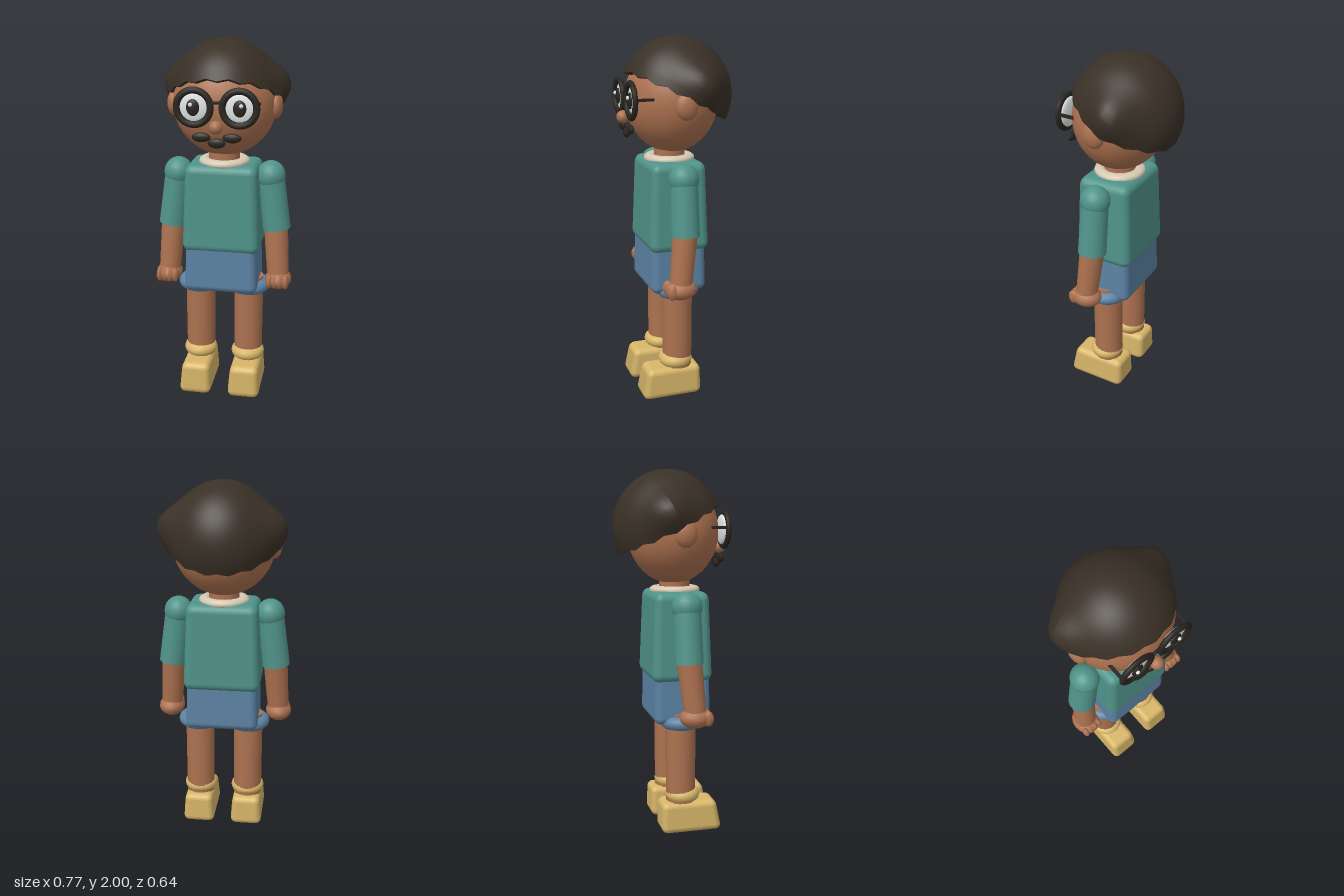
import * as THREE from 'three';
import { RoundedBoxGeometry } from 'three/addons/geometries/RoundedBoxGeometry.js';

const colour = (name, hex, side = THREE.FrontSide) => {
  const m = new THREE.MeshStandardMaterial({ color: hex, side });
  m.name = name;
  return m;
};

export function createModel() {
  const skin = colour('skin', 0xad7250);
  const hairMat = colour('hair', 0x393026, THREE.DoubleSide);
  const teal = colour('shirt teal', 0x50948a);
  const blue = colour('shorts blue', 0x5c83a5);
  const yellow = colour('shoe yellow', 0xd9b76a);
  const cream = colour('collar cream', 0xd6c9b2);
  const white = colour('eye white', 0xdfe5e6);
  const black = colour('dark frame', 0x29251f);

  const model = new THREE.Group();
  model.name = 'figure';

  const add = (name, geometry, material, x = 0, y = 0, z = 0) => {
    const mesh = new THREE.Mesh(geometry, material);
    mesh.name = name;
    mesh.position.set(x, y, z);
    model.add(mesh);
    return mesh;
  };
  const ball = (name, mat, x, y, z, rx, ry, rz, seg = 20) =>
    add(name, new THREE.SphereGeometry(1, seg, Math.ceil(seg * 0.6)).scale(rx, ry, rz), mat, x, y, z);
  // Rounded box whose top is narrowed by a factor in x and z
  const taperedBox = (w, h, d, r, topX, topZ, shiftZ = 0) => {
    const g = new RoundedBoxGeometry(w, h, d, 3, r);
    const p = g.attributes.position;
    for (let i = 0; i < p.count; i++) {
      const t = p.getY(i) / h + 0.5;
      p.setX(i, p.getX(i) * (1 + (topX - 1) * t));
      p.setZ(i, p.getZ(i) * (1 + (topZ - 1) * t) + shiftZ * t);
    }
    return g;
  };
  // Tapered cylinder between two points
  const limb = (name, mat, a, b, ra, rb) => {
    const from = new THREE.Vector3(...a), to = new THREE.Vector3(...b);
    const dir = to.clone().sub(from);
    const mesh = add(name, new THREE.CylinderGeometry(rb, ra, dir.length(), 20), mat);
    mesh.position.copy(from).lerp(to, 0.5);
    mesh.quaternion.setFromUnitVectors(new THREE.Vector3(0, 1, 0), dir.normalize());
    return mesh;
  };
  // Horizontal ring with an oval section
  const ring = (name, mat, x, y, z, R, tube, halfHeight) =>
    add(name, new THREE.TorusGeometry(R, tube, 12, 28).rotateX(Math.PI / 2)
      .scale(1, halfHeight / tube, 1), mat, x, y, z);

  // Torso, shorts, neck and collar
  add('shirt', taperedBox(0.43, 0.49, 0.335, 0.045, 0.91, 0.89), teal, 0, 1.1, 0.022);
  add('shorts', taperedBox(0.41, 0.3, 0.315, 0.04, 0.95, 0.96), blue, 0, 0.77, 0.025);
  add('neck', new THREE.CylinderGeometry(0.085, 0.085, 0.14, 24), skin, 0, 1.36, 0.02);
  ring('collar', cream, 0, 1.347, 0.022, 0.107, 0.033, 0.024);

  // Head
  ball('head', skin, 0, 1.665, 0.01, 0.28, 0.285, 0.25, 36);
  ball('nose', skin, 0, 1.58, 0.28, 0.036, 0.035, 0.036, 12);
  ball('moustacheCentre', black, 0, 1.494, 0.262, 0.047, 0.026, 0.016, 14);

  // Hair: a tilted cap with a bulge above each ear and a ragged rim
  const shapeHair = (g) => {
    const p = g.attributes.position;
    const tilt = new THREE.Vector3(1, 0, 0);
    for (let i = 0; i < p.count; i++) {
      const v = new THREE.Vector3().fromBufferAttribute(p, i);
      const rim = Math.abs(v.y) < 1e-4 && v.length() > 0.9;
      if (rim) v.y -= 0.05 * (0.5 + 0.5 * Math.cos(15 * Math.atan2(v.x, v.z)));
      v.applyAxisAngle(tilt, -0.44);
      const d2 = (Math.abs(v.x) - 0.95) ** 2 + (v.y - 0.22) ** 2 + (v.z + 0.18) ** 2;
      const bulge = 0.068 * Math.exp(-d2 / 0.11);
      p.setXYZ(i, v.x * (0.29 + bulge), v.y * (0.31 + bulge), v.z * (0.3 + bulge));
    }
    g.computeVertexNormals();
    return g;
  };
  add('hair', shapeHair(new THREE.SphereGeometry(1, 60, 18, 0, Math.PI * 2, 0, Math.PI / 2)),
    hairMat, 0, 1.69, -0.02);
  add('hairUnderside', shapeHair(new THREE.CircleGeometry(1, 60).rotateX(Math.PI / 2)),
    hairMat, 0, 1.69, -0.02);

  // Glasses bridge
  const bridge = new THREE.QuadraticBezierCurve3(
    new THREE.Vector3(-0.04, 1.695, 0.268), new THREE.Vector3(0, 1.715, 0.268),
    new THREE.Vector3(0.04, 1.695, 0.268));
  add('glassesBridge', new THREE.TubeGeometry(bridge, 8, 0.009, 8), black);

  for (const s of [1, -1]) {
    const side = s > 0 ? 'left' : 'right';

    // Ears, eyes, glasses and moustache
    ball(side + 'Ear', skin, s * 0.275, 1.655, 0.015, 0.038, 0.072, 0.06);
    ball(side + 'Moustache', black, s * 0.08, 1.523, 0.262, 0.049, 0.025, 0.016, 14);
    add(side + 'GlassesRim', new THREE.TorusGeometry(0.088, 0.018, 10, 32).scale(1, 1, 0.8),
      black, s * 0.118, 1.677, 0.268);
    ball(side + 'Eye', white, s * 0.118, 1.677, 0.255, 0.08, 0.08, 0.018, 28);
    ball(side + 'Pupil', black, s * 0.12, 1.677, 0.273, 0.034, 0.043, 0.012, 18);
    ball(side + 'Glint', white, s * 0.13, 1.693, 0.287, 0.011, 0.011, 0.01, 10);
    add(side + 'Temple', new THREE.BoxGeometry(0.016, 0.014, 0.11), black, s * 0.205, 1.688, 0.215);

    // Arms
    ball(side + 'Shoulder', teal, s * 0.257, 1.275, 0.025, 0.08, 0.082, 0.082);
    limb(side + 'Sleeve', teal, [s * 0.257, 1.28, 0.025], [s * 0.295, 0.975, 0.028], 0.073, 0.077);
    limb(side + 'Forearm', skin, [s * 0.29, 1.0, 0.028], [s * 0.312, 0.69, 0.06], 0.068, 0.06);
    ball(side + 'Hand', skin, s * 0.313, 0.687, 0.06, 0.074, 0.057, 0.088, 16);
    for (let i = 0; i < 4; i++) {
      ball(side + 'Finger', skin, s * (0.268 + i * 0.03), 0.687, 0.118, 0.019, 0.042, 0.03, 10);
    }

    // Legs, sock cuffs and shoes
    ring(side + 'ShortsCuff', blue, s * 0.143, 0.63, 0.025, 0.083, 0.038, 0.037);
    limb(side + 'Leg', skin, [s * 0.14, 0.17, 0.022], [s * 0.14, 0.68, 0.022], 0.082, 0.084);
    ring(side + 'SockCuff', yellow, s * 0.14, 0.207, 0.033, 0.06, 0.036, 0.037);
    add(side + 'Shoe', taperedBox(0.185, 0.175, 0.345, 0.035, 0.86, 0.89, -0.015),
      yellow, s * 0.14, 0.0875, 0.073);
  }

  return model;
}
